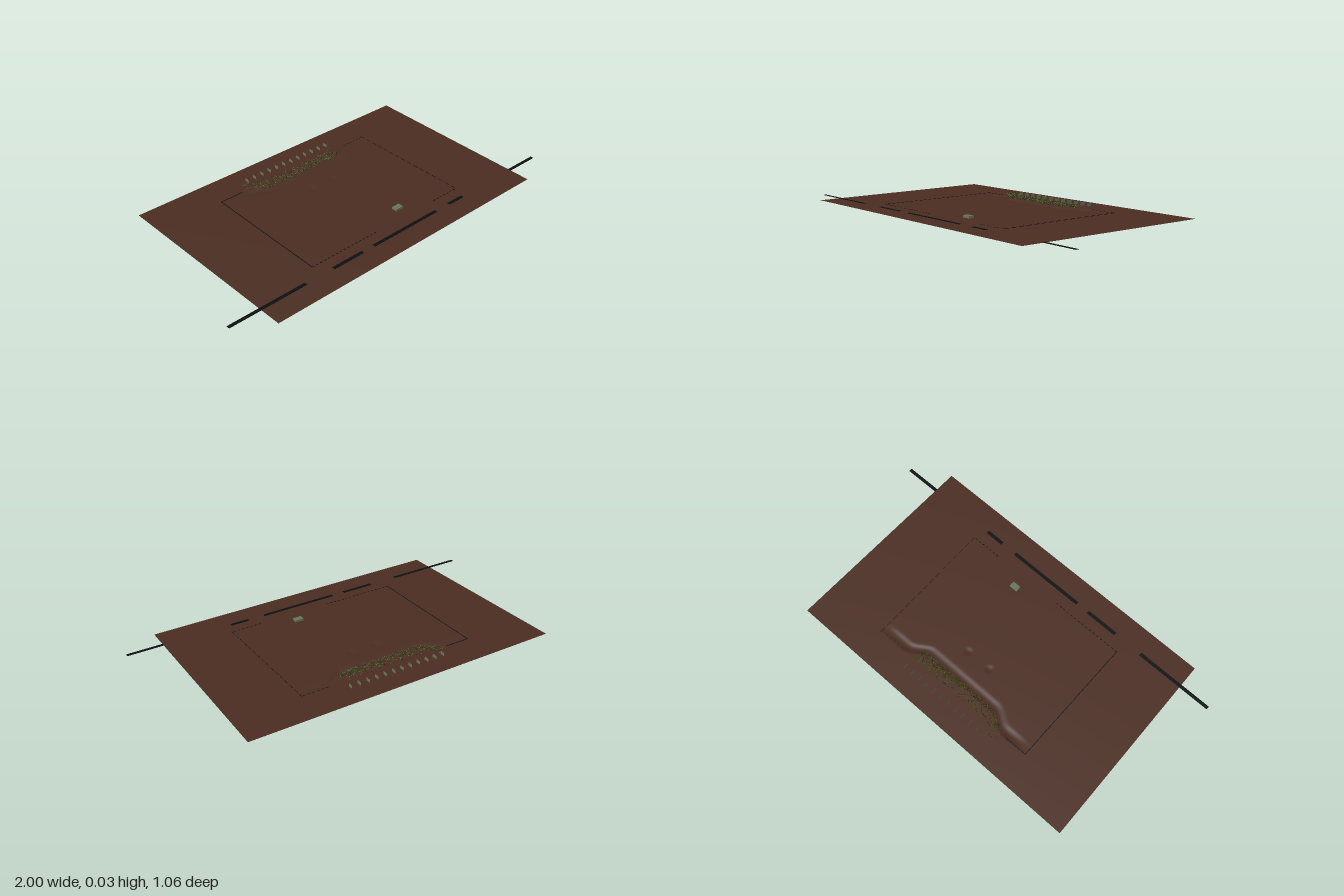
import * as THREE from 'three';
import { mergeGeometries } from 'three/addons/utils/BufferGeometryUtils.js';

const mat = (name, color, side = THREE.FrontSide) => {
  const m = new THREE.MeshStandardMaterial({ color, side });
  m.name = name;
  return m;
};
const { smoothstep } = THREE.MathUtils;
const LEVEL = 0.01;

// Small seeded generator for scattering plants
let seed = 7;
const rand = () => (seed = (seed * 16807) % 2147483647) / 2147483647;
const between = (a, b) => a + (b - a) * rand();

// Centre line of the ditch: bows forward in the middle
const ditchZ = x => -0.33 + 0.055 * smoothstep(x, -0.34, -0.22) * (1 - smoothstep(x, 0.2, 0.32));

// Ground height: a ditch and two shallow pits
function groundHeight(x, z) {
  const ends = smoothstep(x, -0.5, -0.36) * (1 - smoothstep(x, 0.36, 0.5));
  let y = LEVEL - 0.007 * ends * (1 - smoothstep(Math.abs(z - ditchZ(x)), 0.006, 0.032));
  for (const px of [-0.07, 0.07]) {
    y -= 0.005 * (1 - smoothstep(Math.hypot(x - px, z + 0.15), 0.004, 0.025));
  }
  return y;
}

export function createModel() {
  const model = new THREE.Group();
  const soil = mat('brown soil', 0x4a2d22, THREE.DoubleSide);
  const black = mat('black line', 0x0d1010);
  const leaf = mat('leaf green', 0x3f6410);
  const darkLeaf = mat('dark green', 0x1d300c);
  const sage = mat('sage green', 0x66755a, THREE.DoubleSide);
  const add = (name, geometries, material) => {
    const mesh = new THREE.Mesh(mergeGeometries(geometries), material);
    mesh.name = name;
    model.add(mesh);
  };
  const box = (w, h, d, x, y, z) => new THREE.BoxGeometry(w, h, d).translate(x, y, z);

  // Ground sheet, slightly wider at the back
  const ground = new THREE.PlaneGeometry(2, 1.06, 168, 132).rotateX(-Math.PI / 2);
  const p = ground.attributes.position;
  for (let i = 0; i < p.count; i++) {
    const z = p.getZ(i);
    const x = p.getX(i) * (0.83 - 0.019 * z) - 0.01;
    p.setXYZ(i, x, groundHeight(x, z), z);
  }
  ground.computeVertexNormals();
  add('ground', [ground], soil);

  // Long strip that weaves just above and just below the ground
  const breaks = [-1, -0.58, -0.42, -0.24, -0.17, 0.25, 0.34, 0.44, 0.81, 1];
  const strip = [];
  for (let i = 0; i < breaks.length - 1; i++) {
    const a = breaks[i], b = breaks[i + 1];
    strip.push(box(b - a, 0.0008, 0.018, (a + b) / 2, LEVEL + (i % 2 ? -0.0006 : 0.0006), 0.41));
  }
  add('frontStrip', strip, black);

  // Thin boundary rectangle: solid left and back corner, dashed elsewhere
  const y = LEVEL + 0.0006;
  const boundary = [
    box(0.004, 0.001, 0.695, -0.485, y, -0.0075),
    box(0.13, 0.001, 0.004, -0.42, y, -0.355),
  ];
  for (let x = -0.48; x < 0.47; x += 0.024) {
    if (x < -0.09 || x > 0.29) boundary.push(box(0.012, 0.001, 0.004, x, y, 0.34));
    if (x > 0.33) boundary.push(box(0.014, 0.002, 0.001, x, y, -0.355));
  }
  for (let z = -0.35; z < 0.34; z += 0.045) {
    boundary.push(box(0.001, 0.003, 0.03, 0.47, LEVEL + 0.001, z));
  }
  add('boundaryLine', boundary, black);

  // Bushes crowded along the back bank of the ditch
  const bushes = [[], []];
  for (let i = 0; i < 480; i++) {
    const x = between(-0.3, 0.25);
    const back = rand() ** 1.6 * 0.065;
    const r = between(0.002, 0.0038);
    const bush = new THREE.OctahedronGeometry(r).rotateY(rand() * 3);
    bush.translate(x, between(0.014, 0.028), ditchZ(x) - 0.018 - back);
    bushes[rand() < 0.6 ? 0 : 1].push(bush);
  }
  // A few stragglers at the left end
  for (let i = 0; i < 14; i++) {
    bushes[i % 2].push(new THREE.OctahedronGeometry(0.003)
      .translate(between(-0.33, -0.27), between(0.014, 0.026), between(-0.4, -0.34)));
  }
  add('lightBushes', bushes[0], leaf);
  add('darkBushes', bushes[1], darkLeaf);

  // Upright screens standing behind the bushes
  const screens = [];
  for (let i = 0; i < 12; i++) {
    const x = -0.28 + i * 0.048;
    screens.push(new THREE.PlaneGeometry(0.028, 0.017).rotateY(Math.PI / 2)
      .translate(x, 0.0205, -0.415));
  }
  add('rearScreens', screens, sage);

  // Small block near the front
  add('frontBlock', [box(0.046, 0.021, 0.03, 0.126, 0.0105, 0.268)], sage);
  return model;
}
